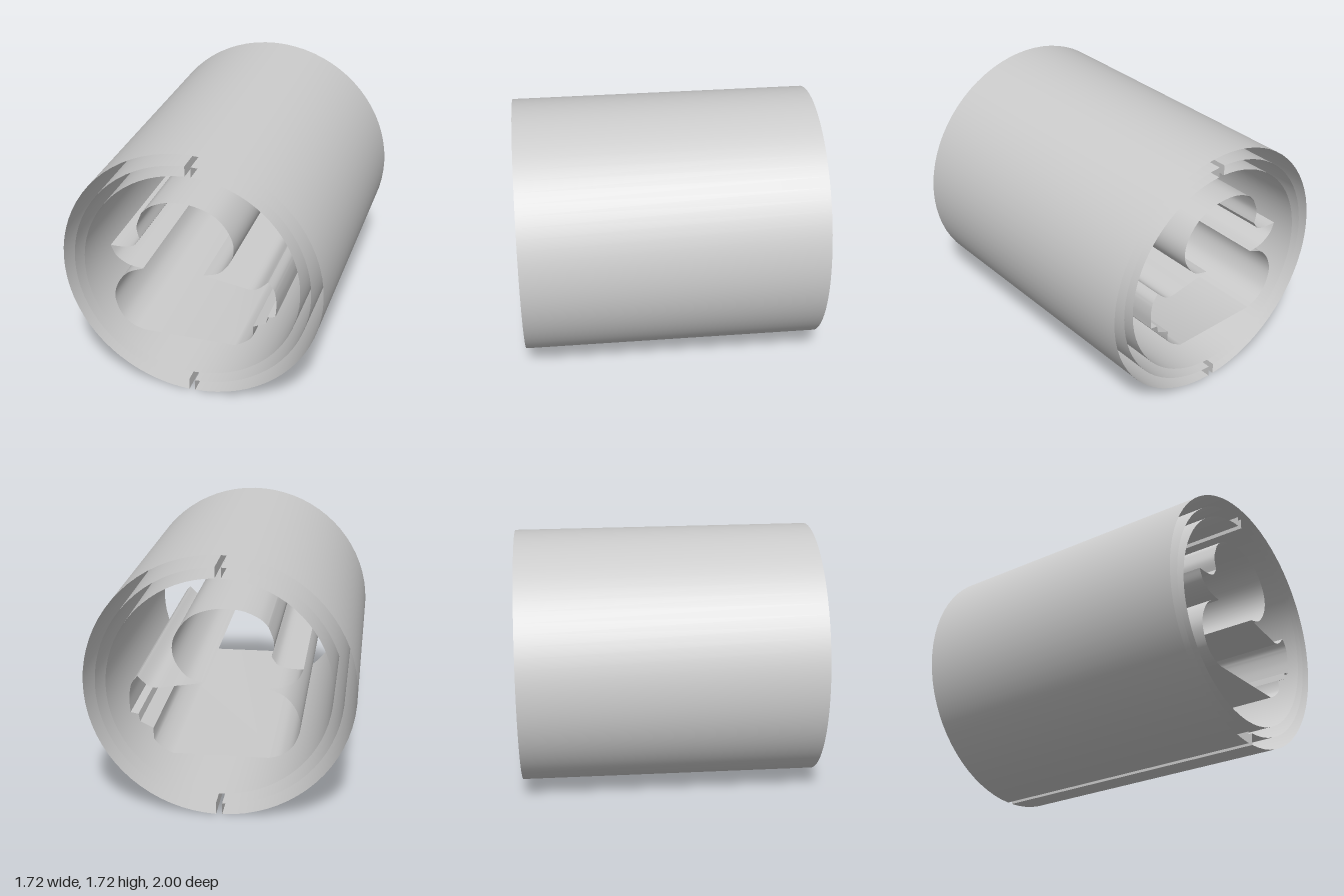
import * as THREE from 'three';
import { toCreasedNormals } from 'three/addons/utils/BufferGeometryUtils.js';

const material = new THREE.MeshStandardMaterial({ color: 0xcccccc, side: THREE.DoubleSide });
const AXIS_Y = 0.86, HALF = 1;
const R_OUT = 0.862, R_MID = 0.784, R_IN = 0.715, SLIT = 0.02;

// Open-ended wall swept straight along z from a 2D outline
function wall(name, pts) {
  const pos = [], index = [];
  pts.forEach((p, i) => {
    pos.push(p.x, p.y, HALF, p.x, p.y, -HALF);
    if (i) {
      const a = 2 * i - 2;
      index.push(a, a + 1, a + 2, a + 2, a + 1, a + 3);
    }
  });
  const g = new THREE.BufferGeometry();
  g.setAttribute('position', new THREE.Float32BufferAttribute(pos, 3));
  g.setIndex(index);
  const mesh = new THREE.Mesh(toCreasedNormals(g, 0.6), material);
  mesh.name = name;
  return mesh;
}

// Arc points running clockwise between two angles
function arc(r, from, to, n) {
  return Array.from({ length: n + 1 }, (_, i) => {
    const t = from + (to - from) * i / n;
    return new THREE.Vector2(r * Math.cos(t), r * Math.sin(t));
  });
}

const v = (x, y) => new THREE.Vector2(x, y);

export function createModel() {
  const group = new THREE.Group();
  group.name = 'keyedSleeve';
  const up = Math.PI / 2, down = -Math.PI / 2, full = Math.PI * 2;
  const gap = r => Math.asin(SLIT / r);

  // Outer shell, split along the bottom
  group.add(wall('outerShell', arc(R_OUT, down - gap(R_OUT), down - full + gap(R_OUT), 72)));

  // Middle shell, split at the top and bottom
  const gm = gap(R_MID);
  group.add(wall('middleShellRight', arc(R_MID, up - gm, down + gm, 36)));
  group.add(wall('middleShellLeft', arc(R_MID, up + gm, up + Math.PI - gm, 36)));

  // Inner shell, split along the top
  group.add(wall('innerShell', arc(R_IN, up - gap(R_IN), up - full + gap(R_IN), 72)));

  // Side walls of the two slits
  for (const s of [-1, 1]) {
    group.add(wall('topSlitSide', [v(s * SLIT, R_IN), v(s * SLIT, R_MID)]));
    group.add(wall('bottomSlitSide', [v(s * SLIT, -R_MID), v(s * SLIT, -R_OUT)]));
  }

  // Keyed bore: flat floor, stepped right side, round upper lobe, left groove
  const bore = new THREE.Shape();
  bore.moveTo(-0.32, -0.446);
  bore.lineTo(0.295, -0.446);
  bore.quadraticCurveTo(0.39, -0.4, 0.415, -0.35);
  bore.lineTo(0.415, -0.28);
  bore.lineTo(0.5, -0.24);
  bore.lineTo(0.51, -0.19);
  bore.lineTo(0.56, -0.18);
  bore.splineThru([v(0.565, -0.08), v(0.55, 0.01), v(0.51, 0.065)]);
  bore.splineThru([v(0.42, -0.005), v(0.28, 0.01), v(0.09, 0.04)]);
  bore.splineThru([v(0.2, 0.08), v(0.28, 0.2), v(0.275, 0.33), v(0.18, 0.46),
    v(0.03, 0.52), v(-0.13, 0.52), v(-0.25, 0.475), v(-0.31, 0.42)]);
  bore.splineThru([v(-0.345, 0.32), v(-0.33, 0.233)]);
  bore.splineThru([v(-0.37, 0.18), v(-0.44, 0.16), v(-0.527, 0.157)]);
  bore.splineThru([v(-0.49, 0.085), v(-0.41, 0.035), v(-0.313, 0.02)]);
  bore.splineThru([v(-0.42, -0.03), v(-0.49, -0.12), v(-0.515, -0.23),
    v(-0.475, -0.35), v(-0.4, -0.42), v(-0.32, -0.446)]);
  group.add(wall('keyedBore', bore.getPoints(5)));

  group.position.y = AXIS_Y;
  const root = new THREE.Group();
  root.add(group);
  return root;
}
